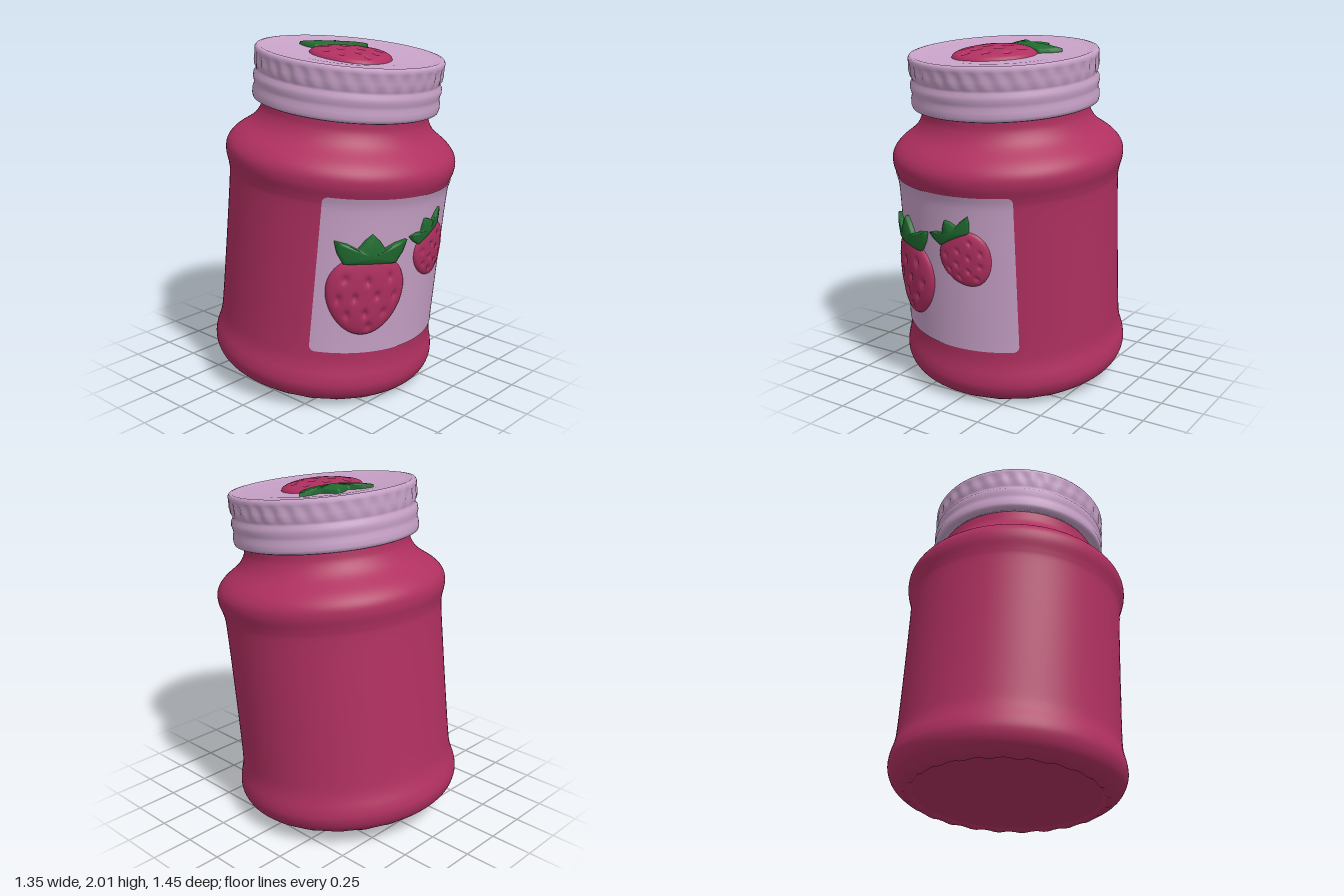
import * as THREE from 'three';
import { mergeVertices } from 'three/addons/utils/BufferGeometryUtils.js';

const material = (name, color) => {
  const m = new THREE.MeshStandardMaterial({ color });
  m.name = name;
  return m;
};

const vectors = (list) => list.map(([x, y]) => new THREE.Vector2(x, y));

// Jar outline: [radius, height] from the base centre up into the lid
const jarProfile = new THREE.SplineCurve(vectors([
  [0, 0.02], [0.3, 0.02], [0.5, 0.02], [0.54, 0.003], [0.58, 0.008], [0.635, 0.05],
  [0.663, 0.11], [0.662, 0.17], [0.643, 0.25], [0.636, 0.34], [0.634, 0.6], [0.634, 0.9],
  [0.636, 1.15], [0.645, 1.22], [0.664, 1.29], [0.66, 1.35], [0.62, 1.405], [0.53, 1.475],
  [0.487, 1.54], [0.478, 1.6], [0.475, 1.68],
])).getPoints(100);

// Lid outline from the inner lower edge over the rim to the middle
const lidProfile = vectors([
  [0.47, 1.66], [0.475, 1.615], [0.515, 1.605], [0.53, 1.612], [0.535, 1.63], [0.534, 1.66],
  [0.528, 1.68], [0.53, 1.7], [0.536, 1.72], [0.534, 1.745], [0.523, 1.76], [0.524, 1.775],
  [0.531, 1.79], [0.532, 1.82], [0.532, 1.85], [0.536, 1.868], [0.537, 1.885], [0.53, 1.897],
  [0.515, 1.9], [0.49, 1.893], [0.46, 1.889], [0.37, 1.886], [0.31, 1.88], [0.15, 1.88], [0, 1.88],
]);

// Radius of the jar wall at a height
function wallRadius(y) {
  for (let i = 1; i < jarProfile.length; i++) {
    const a = jarProfile[i - 1], b = jarProfile[i];
    if (a.x > 0.6 && y >= a.y && y <= b.y) return a.x + (b.x - a.x) * (y - a.y) / (b.y - a.y);
  }
  return 0.635;
}

// Lathe with a rule applied to each vertex (angle, radius, height) -> [radius, height]
function revolve(profile, segments, rule) {
  let g = new THREE.LatheGeometry(profile, segments);
  const p = g.attributes.position;
  for (let i = 0; i < p.count; i++) {
    const a = Math.atan2(p.getX(i), p.getZ(i));
    const [r, y] = rule(a, Math.hypot(p.getX(i), p.getZ(i)), p.getY(i));
    p.setXYZ(i, r * Math.sin(a), y, r * Math.cos(a));
  }
  g.deleteAttribute('uv');
  g.deleteAttribute('normal');
  g = mergeVertices(g, 1e-5);
  g.computeVertexNormals();
  return g;
}

function buildGeometry(positions, indices) {
  const g = new THREE.BufferGeometry();
  g.setAttribute('position', new THREE.Float32BufferAttribute(positions, 3));
  g.setIndex(indices);
  g.computeVertexNormals();
  return g;
}

// Relief: rings shrink from an outline to a centre, place() lays them on a surface
function relief(outline, centre, rings, height, place) {
  const n = outline.length;
  const pos = [...place(centre.x, centre.y, height(0, centre.x, centre.y))], idx = [];
  for (let k = 1; k <= rings + 1; k++) {
    const t = Math.min(k / rings, 1);
    outline.forEach((q) => {
      const x = centre.x + (q.x - centre.x) * t, y = centre.y + (q.y - centre.y) * t;
      pos.push(...place(x, y, k > rings ? -0.01 : height(t, x, y)));
    });
    for (let j = 0; j < n; j++) {
      const j2 = (j + 1) % n, a = 1 + (k - 1) * n;
      if (k === 1) idx.push(0, a + j, a + j2);
      else idx.push(a - n + j, a + j, a + j2, a - n + j, a + j2, a - n + j2);
    }
  }
  return buildGeometry(pos, idx);
}

// Berry outline and seed dimples, one unit long
const berryOutline = Array.from({ length: 72 }, (_, i) => {
  const a = i / 72 * Math.PI * 2, s = Math.sin(a);
  return new THREE.Vector2(0.475 * Math.cos(a) * (1 + 0.15 * s), 0.5 * s);
});
const dimples = [[-0.02, 0.2], [-0.27, 0.22], [0.24, 0.24], [0.1, 0.02], [-0.15, 0],
  [0.32, 0], [-0.33, -0.03], [0.2, -0.2], [-0.02, -0.2], [-0.22, -0.22], [0.04, -0.37]];
const berryHeight = (t, x, y) => {
  let h = 0.09 * Math.sqrt(1 - t ** 3);
  for (const [dx, dy] of dimples) h -= 0.035 * Math.exp(-(((x - dx) / 0.03) ** 2 + ((y - dy) / 0.05) ** 2));
  return Math.max(h, 0);
};

// Crown of three pointed leaves
const crownCorners = vectors([[0, 0.385], [0.16, 0.39], [0.31, 0.4], [0.39, 0.53], [0.43, 0.66],
  [0.28, 0.63], [0.16, 0.57], [0.08, 0.68], [0, 0.75], [-0.08, 0.68], [-0.16, 0.57],
  [-0.28, 0.63], [-0.43, 0.66], [-0.39, 0.53], [-0.31, 0.4], [-0.16, 0.39]]);
const crownOutline = crownCorners.flatMap((c, i) =>
  [0, 0.25, 0.5, 0.75].map((t) => c.clone().lerp(crownCorners[(i + 1) % crownCorners.length], t)));
const crownHeight = (t) => 0.045 + 0.04 * (1 - t * t);

// One strawberry, scaled and turned, laid on a surface
function strawberry(name, size, turn, surface, red, green) {
  const c = Math.cos(turn) * size, s = Math.sin(turn) * size;
  const place = (x, y, h) => surface(x * c - y * s, x * s + y * c, h * size);
  const group = new THREE.Group();
  group.name = name;
  const berry = new THREE.Mesh(relief(berryOutline, new THREE.Vector2(0, 0), 26, berryHeight, place), red);
  berry.name = 'berry';
  const leaves = new THREE.Mesh(relief(crownOutline, new THREE.Vector2(0, 0.5), 8, crownHeight, place), green);
  leaves.name = 'berryLeaves';
  group.add(berry, leaves);
  return group;
}

// Thin label with rounded corners, following the wall
function labelGeometry(a0, a1, y0, y1) {
  const cols = 90, rows = 40, corner = 0.035, R = 0.635, pos = [], idx = [];
  for (let i = 0; i <= cols; i++) {
    const u = (1 - Math.cos(Math.PI * i / cols)) / 2;
    const d = Math.min(u, 1 - u) * (a1 - a0) * R;
    const cut = d < corner ? corner - Math.sqrt(corner ** 2 - (corner - d) ** 2) : 0;
    const a = a0 + (a1 - a0) * u;
    for (let j = 0; j <= rows; j++) {
      const y = y0 + cut + (y1 - y0 - 2 * cut) * j / rows, r = wallRadius(y) + 0.005;
      pos.push(r * Math.sin(a), y, r * Math.cos(a));
      if (i < cols && j < rows) {
        const p = i * (rows + 1) + j, q = p + rows + 1;
        idx.push(p, q, q + 1, p, q + 1, p + 1);
      }
    }
  }
  return buildGeometry(pos, idx);
}

export function createModel() {
  const red = material('berry red', 0xb03060);
  const lilac = material('lilac', 0xc8a2c8);
  const green = material('leaf green', 0x206b30);
  lilac.side = THREE.DoubleSide;

  const jar = new THREE.Group();
  jar.name = 'leaningJar';
  const add = (name, geometry, mat) => {
    const mesh = new THREE.Mesh(geometry, mat);
    mesh.name = name;
    jar.add(mesh);
  };

  // Glass body with a softly scalloped foot
  add('jarBody', revolve(jarProfile, 120, (a, r, y) => {
    const foot = y < 0.05 ? Math.exp(-(((r - 0.555) / 0.03) ** 2)) : 0;
    return [r, y + 0.007 * foot * Math.cos(24 * a)];
  }), red);

  // Screw lid with ribs around its upper band
  add('lid', revolve(lidProfile, 216, (a, r, y) => {
    const band = r > 0.5 ? Math.exp(-(((y - 1.825) / 0.035) ** 4)) : 0;
    return [r + 0.006 * band * Math.cos(36 * a), y];
  }), lilac);

  add('label', labelGeometry(-0.98, 0.605, 0.335, 1.238), lilac);

  // Strawberries on the label and on the lid
  const onWall = (angle, y0) => (u, v, h) => {
    const a = angle + u / 0.635, r = wallRadius(y0 + v) + 0.004 + h;
    return [r * Math.sin(a), y0 + v, r * Math.cos(a)];
  };
  const onLid = (u, v, h) => [-0.035 + u, 1.878 + h, 0.05 - v];
  jar.add(
    strawberry('largeLabelStrawberry', 0.475, 0, onWall(-0.53, 0.685), red, green),
    strawberry('smallLabelStrawberry', 0.32, 0.47, onWall(0.175, 0.88), red, green),
    strawberry('lidStrawberry', 0.49, -0.5, onLid, red, green),
  );

  // The whole jar leans forward
  jar.rotation.set(0.104, 0, -0.017);
  jar.position.set(-0.015, 0.057, -0.07);

  const model = new THREE.Group();
  model.name = 'jamJar';
  model.add(jar);
  return model;
}
